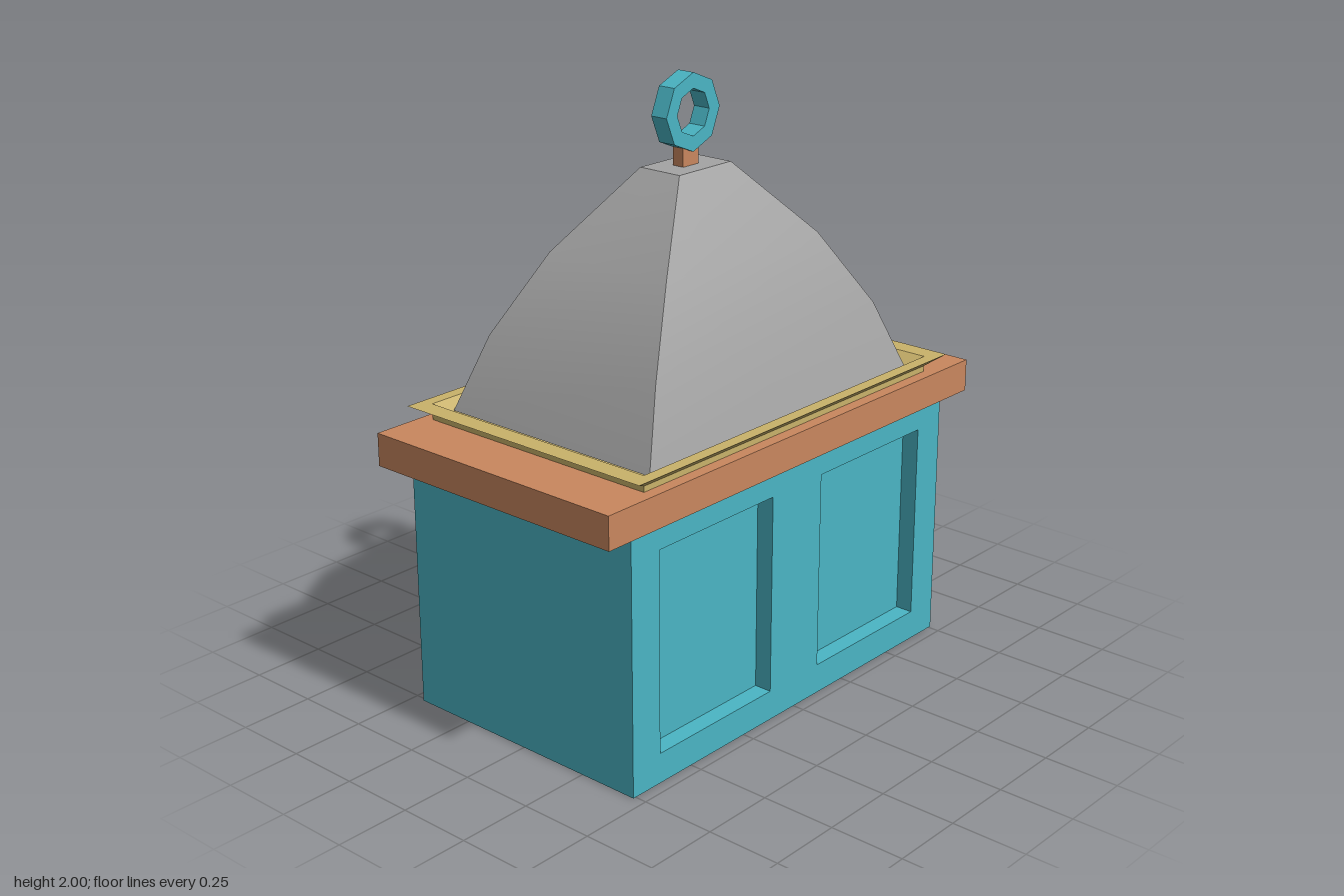
import * as THREE from 'three';
import { toCreasedNormals } from 'three/addons/utils/BufferGeometryUtils.js';

const material = (name, color) => {
  const m = new THREE.MeshStandardMaterial({ color });
  m.name = name;
  return m;
};

// Solid through rectangular rings [half width, half depth, height], capped at both ends
function rectLoft(rings, crease) {
  const corners = [[1, 1], [1, -1], [-1, -1], [-1, 1]];
  const positions = [];
  const index = [];
  for (const [hx, hz, y] of rings) {
    for (const [sx, sz] of corners) positions.push(sx * hx, y, sz * hz);
  }
  for (let r = 0; r < rings.length - 1; r++) {
    for (let i = 0; i < 4; i++) {
      const a = r * 4 + i, b = r * 4 + (i + 1) % 4;
      index.push(a, b, b + 4, a, b + 4, a + 4);
    }
  }
  const t = (rings.length - 1) * 4;
  index.push(t, t + 1, t + 2, t, t + 2, t + 3, 0, 2, 1, 0, 3, 2);
  const geometry = new THREE.BufferGeometry();
  geometry.setAttribute('position', new THREE.Float32BufferAttribute(positions, 3));
  geometry.setIndex(index);
  return toCreasedNormals(geometry, crease);
}

function rectPath(path, x0, y0, x1, y1) {
  path.moveTo(x0, y0);
  path.lineTo(x1, y0);
  path.lineTo(x1, y1);
  path.lineTo(x0, y1);
  path.closePath();
  return path;
}

// Octagon outline with a corner pointing straight up
function octagon(path, radius) {
  const points = [];
  for (let i = 0; i < 8; i++) {
    const a = i * Math.PI / 4;
    points.push(new THREE.Vector2(Math.cos(a) * radius, Math.sin(a) * radius));
  }
  path.setFromPoints(points);
  path.closePath();
  return path;
}

export function createModel() {
  const teal = material('teal paint', 0x4ab5c4);
  const wood = material('orange wood', 0xc9875e);
  const brass = material('pale brass', 0xc9b26a);
  const grey = material('grey cover', 0xa4a4a4);

  const model = new THREE.Group();
  model.name = 'servingCart';
  const add = (name, geometry, mat, x = 0, y = 0, z = 0, parent = model) => {
    const mesh = new THREE.Mesh(geometry, mat);
    mesh.name = name;
    mesh.position.set(x, y, z);
    parent.add(mesh);
    return mesh;
  };

  // Cabinet: a box with a front frame that leaves two recessed panels
  const cabinet = new THREE.Group();
  cabinet.name = 'cabinet';
  model.add(cabinet);
  const recess = 0.06, height = 0.85;
  add('cabinetBody', new THREE.BoxGeometry(1.52, height, 0.92 - recess), teal,
    0, height / 2, -recess / 2, cabinet);
  const frame = rectPath(new THREE.Shape(), -0.76, 0, 0.76, height);
  for (const x of [-0.64, 0.12]) {
    frame.holes.push(rectPath(new THREE.Path(), x, 0.1, x + 0.52, 0.765));
  }
  add('frontFrame', new THREE.ExtrudeGeometry(frame, { depth: recess, bevelEnabled: false }), teal,
    0, 0, 0.46 - recess, cabinet);

  // Overhanging counter
  add('counter', new THREE.BoxGeometry(1.75, 0.108, 0.965), wood, 0, 0.9, 0);

  // Tray: short foot, flared rim, sloping inner wall and floor
  add('tray', rectLoft([
    [0.685, 0.442, 0.954],
    [0.685, 0.442, 0.973],
    [0.75, 0.484, 1.006],
    [0.685, 0.442, 1.006],
    [0.62, 0.405, 0.958],
  ], 0.1), brass);

  // Domed cover, smooth up each side with sharp corners
  add('cover', rectLoft([
    [0.625, 0.41, 0.975],
    [0.525, 0.345, 1.212],
    [0.36, 0.24, 1.462],
    [0.12, 0.08, 1.71],
  ], 0.45), grey);

  // Handle: post and octagonal ring
  add('handlePost', new THREE.BoxGeometry(0.072, 0.065, 0.042), wood, 0, 1.737, 0);
  const ring = octagon(new THREE.Shape(), 0.123);
  ring.holes.push(octagon(new THREE.Path(), 0.074));
  add('handleRing', new THREE.ExtrudeGeometry(ring, { depth: 0.062, bevelEnabled: false }), teal,
    0, 1.877, -0.031);

  return model;
}
